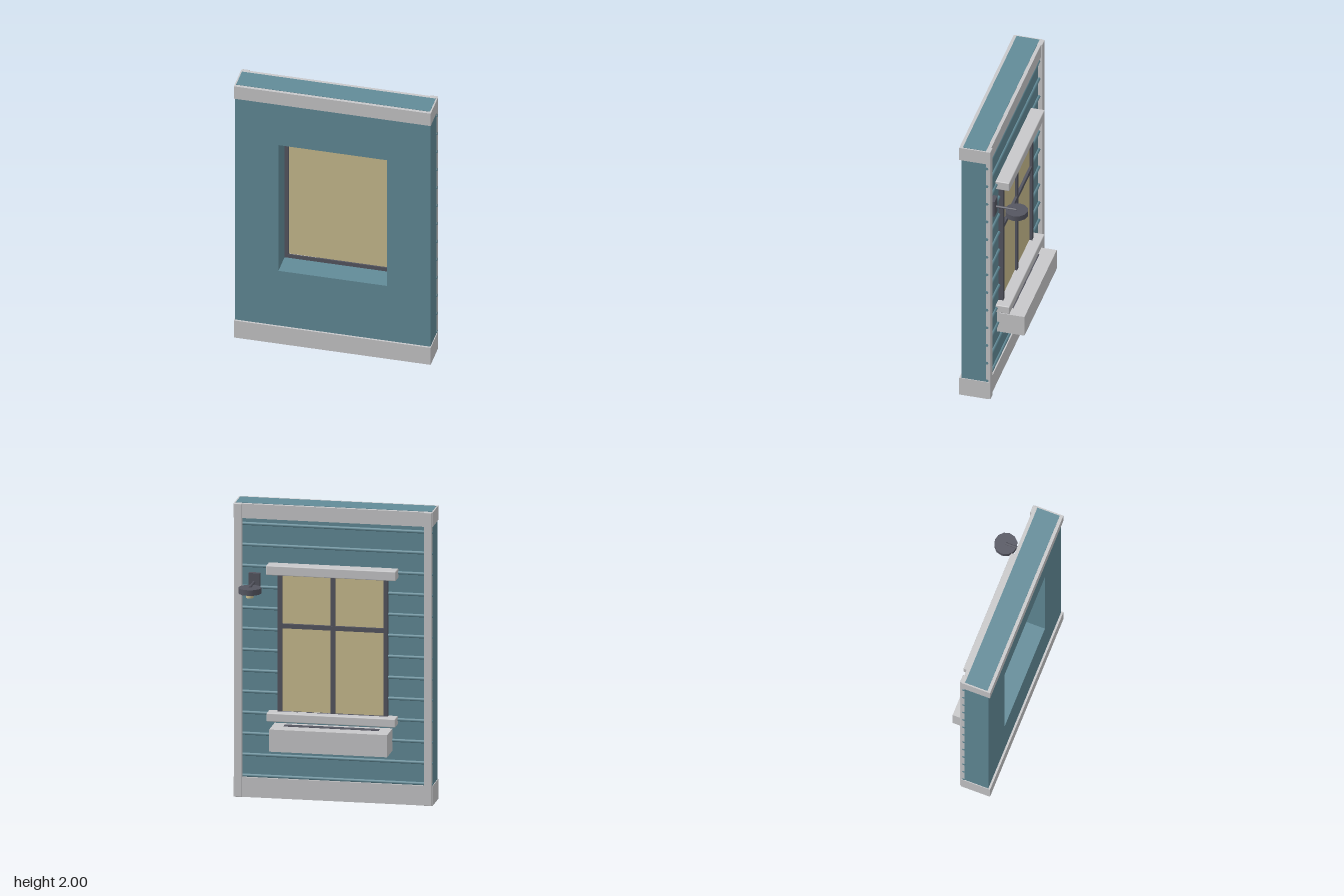
import * as THREE from 'three';
import { RoundedBoxGeometry } from 'three/addons/geometries/RoundedBoxGeometry.js';

export function createModel() {
  const root = new THREE.Group();
  root.name = 'windowWallPanel';

  const material = (name, color) => {
    const m = new THREE.MeshStandardMaterial({ color });
    m.name = name;
    return m;
  };
  const teal = material('tealSiding', 0x628b98);
  const trim = material('lightTrim', 0xc8c8ca);
  const dark = material('darkMetal', 0x555661);
  const glow = material('warmGlass', 0xcabd8f);

  const add = (name, geometry, mat, x, y, z) => {
    const mesh = new THREE.Mesh(geometry, mat);
    mesh.name = name;
    mesh.position.set(x, y, z);
    root.add(mesh);
    return mesh;
  };
  // Box given by its extents along each axis, optionally with a softened edge
  const box = (name, mat, [x0, x1], [y0, y1], [z0, z1], bevel = 0) => {
    const size = [x1 - x0, y1 - y0, z1 - z0];
    const geometry = bevel
      ? new RoundedBoxGeometry(...size, 1, bevel)
      : new THREE.BoxGeometry(...size);
    return add(name, geometry, mat, (x0 + x1) / 2, (y0 + y1) / 2, (z0 + z1) / 2);
  };

  const W = 0.665; // half width of the wall
  const H = 0.37; // half width of the window opening
  const OPEN = [0.57, 1.57]; // height range of the opening
  const DEPTH = [0.03, 0.2];

  // Wall blocks around the opening
  box('wallBelowWindow', teal, [-W, W], [0.002, OPEN[0]], DEPTH);
  box('wallAboveWindow', teal, [-W, W], [OPEN[1], 1.95], DEPTH);
  box('wallRight', teal, [-W, -H], OPEN, DEPTH);
  box('wallLeft', teal, [H, W], OPEN, DEPTH);

  // Bands at the foot and the head, with the wall core showing on top
  box('bottomBand', trim, [-0.67, 0.67], [0, 0.135], [0.01, 0.214]);
  box('topBand', trim, [-0.67, 0.67], [1.9, 1.998], [0.01, 0.214]);
  box('topCore', teal, [-0.66, 0.66], [1.99, 2], [0.034, 0.192]);

  // Corner posts
  for (const s of [-1, 1]) {
    const xs = s < 0 ? [-0.666, -0.612] : [0.612, 0.666];
    box(s < 0 ? 'cornerPostRight' : 'cornerPostLeft', trim, xs, [0, 1.999], [0, 0.034], 0.004);
  }

  // Horizontal siding ridges, interrupted by the window
  const ridge = (x0, x1, y) => {
    const g = new THREE.CylinderGeometry(0.011, 0.011, x1 - x0, 8);
    g.rotateZ(Math.PI / 2);
    add('sidingRidge', g, teal, (x0 + x1) / 2, y, 0.026);
  };
  for (let i = 0; i < 13; i++) {
    const y = 0.145 + i * 0.143;
    if (y > OPEN[0] && y < OPEN[1]) {
      ridge(-0.668, -H, y);
      ridge(H, 0.668, y);
    } else ridge(-0.668, 0.668, y);
  }

  // Window frame, glass and glazing bars
  const F = 0.028;
  const frameZ = [-0.004, 0.034];
  box('frameBottom', dark, [-H, H], [OPEN[0], OPEN[0] + F], frameZ);
  box('frameTop', dark, [-H, H], [OPEN[1] - F, OPEN[1]], frameZ);
  box('frameRight', dark, [-H, -H + F], [OPEN[0] + F, OPEN[1] - F], frameZ);
  box('frameLeft', dark, [H - F, H], [OPEN[0] + F, OPEN[1] - F], frameZ);
  box('glass', glow, [-H + F, H - F], [OPEN[0] + F, OPEN[1] - F], [0.016, 0.024]);
  box('verticalBar', dark, [-0.015, 0.015], [OPEN[0] + F, OPEN[1] - F], [0, 0.018]);
  box('horizontalBar', dark, [-H + F, H - F], [1.165, 1.195], [-0.002, 0.018]);

  // Lintel, sill and planter box
  box('lintel', trim, [-0.437, 0.437], [1.538, 1.603], [-0.065, 0.032], 0.006);
  box('sill', trim, [-0.434, 0.434], [0.54, 0.598], [-0.065, 0.032], 0.006);
  box('planter', trim, [-0.397, 0.397], [0.36, 0.511], [-0.157, 0.032]);
  box('planterInset', dark, [-0.32, 0.32], [0.508, 0.513], [-0.06, -0.01]);

  // Outdoor lamp
  const LX = 0.53;
  const LZ = -0.14;
  box('lampPlate', dark, [LX - 0.038, LX + 0.038], [1.41, 1.53], [0, 0.032]);
  const arm = add('lampArm', new THREE.CylinderGeometry(0.009, 0.009, 0.15, 8), dark, LX, 1.469, -0.065);
  arm.rotation.x = Math.PI / 2;
  add('lampShade', new THREE.CylinderGeometry(0.077, 0.077, 0.038, 12), dark, LX, 1.449, LZ);
  add('lampBulb', new THREE.CylinderGeometry(0.025, 0.025, 0.034, 10), glow, LX, 1.416, LZ);

  return root;
}
